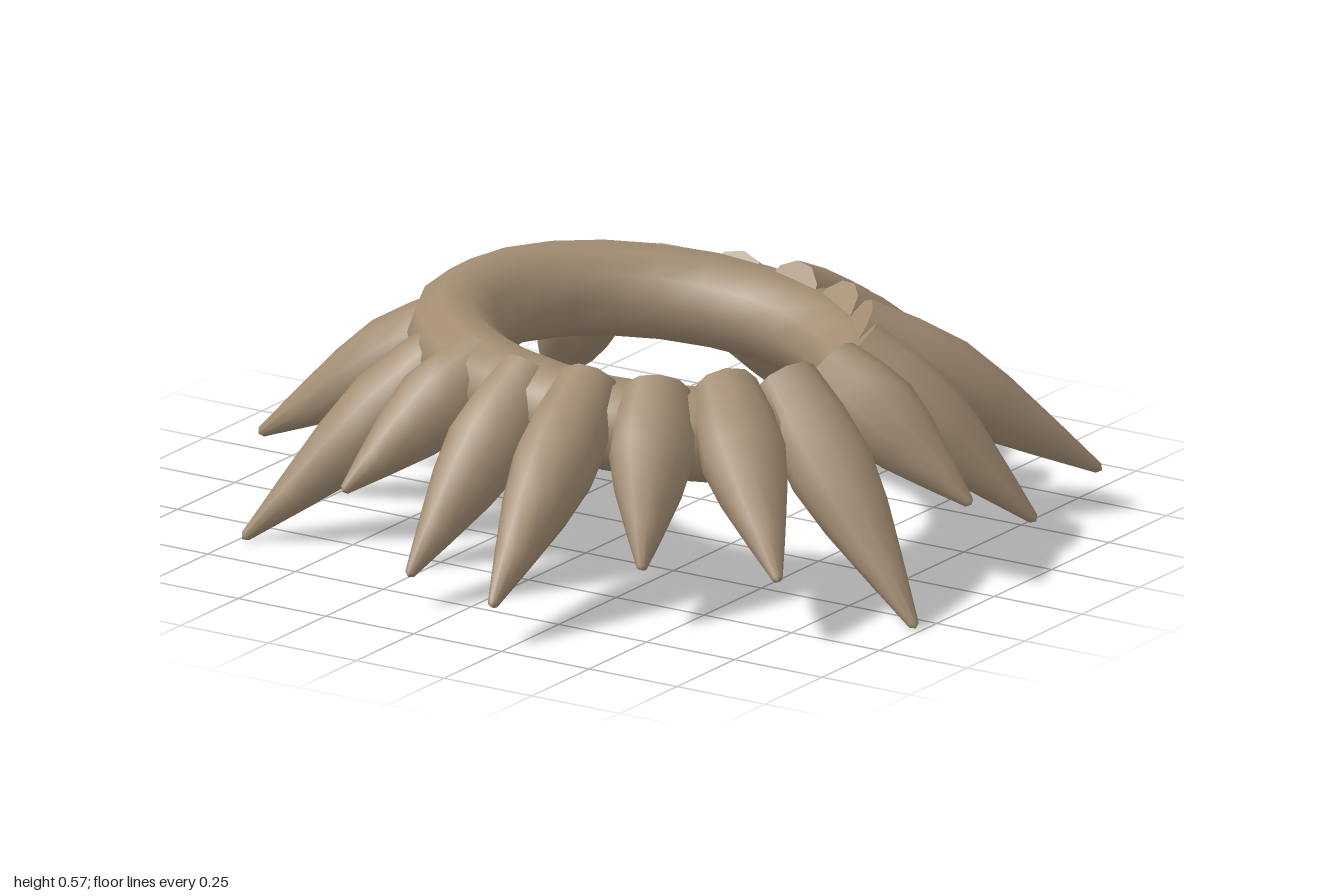
import * as THREE from 'three';
import { mergeGeometries } from 'three/addons/utils/BufferGeometryUtils.js';

const CX = 0.03, CZ = -0.03;

// Spike along +y: flat root, belly, slender blunt tip
function spikeGeometry(length) {
  const profile = [
    [0.08, 0], [0.098, 0.18], [0.105, 0.36], [0.085, 0.55], [0.048, 0.78], [0.013, 0.985], [0, 1],
  ].map(([r, t]) => new THREE.Vector2(r, t * length));
  const side = new THREE.LatheGeometry(profile, 10, Math.PI / 10);
  const root = new THREE.CircleGeometry(0.08, 10);
  root.rotateX(Math.PI / 2);
  return mergeGeometries([side, root]);
}

export function createModel() {
  const model = new THREE.Group();
  model.name = 'spikedCollar';
  const tan = new THREE.MeshStandardMaterial({ color: 0xa38d73 });
  tan.name = 'tan';

  // Oval ring, raised on its right side
  const ringGeometry = new THREE.TorusGeometry(0.48, 0.112, 10, 24);
  ringGeometry.rotateX(Math.PI / 2);
  const p = ringGeometry.attributes.position;
  for (let i = 0; i < p.count; i++) {
    const x = p.getX(i), z = p.getZ(i);
    const r = Math.hypot(x, z), tube = r - 0.48;
    p.setX(i, (x / r) * (0.51 + tube));
    p.setZ(i, (z / r) * (0.45 + tube));
    p.setY(i, p.getY(i) - x * 0.105);
  }
  ringGeometry.computeVertexNormals();
  // Close the shading seams left by the torus parametrisation
  const n = ringGeometry.attributes.normal;
  const v = new THREE.Vector3(), w = new THREE.Vector3();
  const weld = (a, b) => {
    v.fromBufferAttribute(n, a).add(w.fromBufferAttribute(n, b)).normalize();
    n.setXYZ(a, v.x, v.y, v.z);
    n.setXYZ(b, v.x, v.y, v.z);
  };
  for (let j = 0; j <= 10; j++) weld(j * 25, j * 25 + 24);
  for (let i = 0; i <= 24; i++) weld(i, 250 + i);
  const ring = new THREE.Mesh(ringGeometry, tan);
  ring.name = 'ring';
  ring.position.set(CX, 0.413, CZ);
  model.add(ring);

  // Eighteen spikes: tip reach from the centre, tip heights repeat every six
  const reach = [0.885, 1.015, 0.97, 0.81, 1.025, 0.88, 0.85, 1.005, 0.985,
    0.85, 1.09, 0.92, 0.85, 0.975, 0.935, 0.81, 1.06, 0.92];
  const tipHeight = [0.21, 0.006, 0.16, 0.15, 0.10, 0.08];
  const up = new THREE.Vector3(0, 1, 0);
  reach.forEach((r, i) => {
    const a = (i * Math.PI) / 9;
    const c = Math.cos(a), s = Math.sin(a);
    const root = new THREE.Vector3(CX + 0.48 * c, 0.485, CZ + 0.44 * s);
    const tip = new THREE.Vector3(CX + r * c, tipHeight[i % 6], CZ + r * s);
    const axis = tip.clone().sub(root);
    const spike = new THREE.Mesh(spikeGeometry(axis.length()), tan);
    spike.name = 'spike' + (i + 1);
    spike.position.copy(root);
    spike.quaternion.setFromUnitVectors(up, axis.normalize());
    model.add(spike);
  });
  return model;
}
